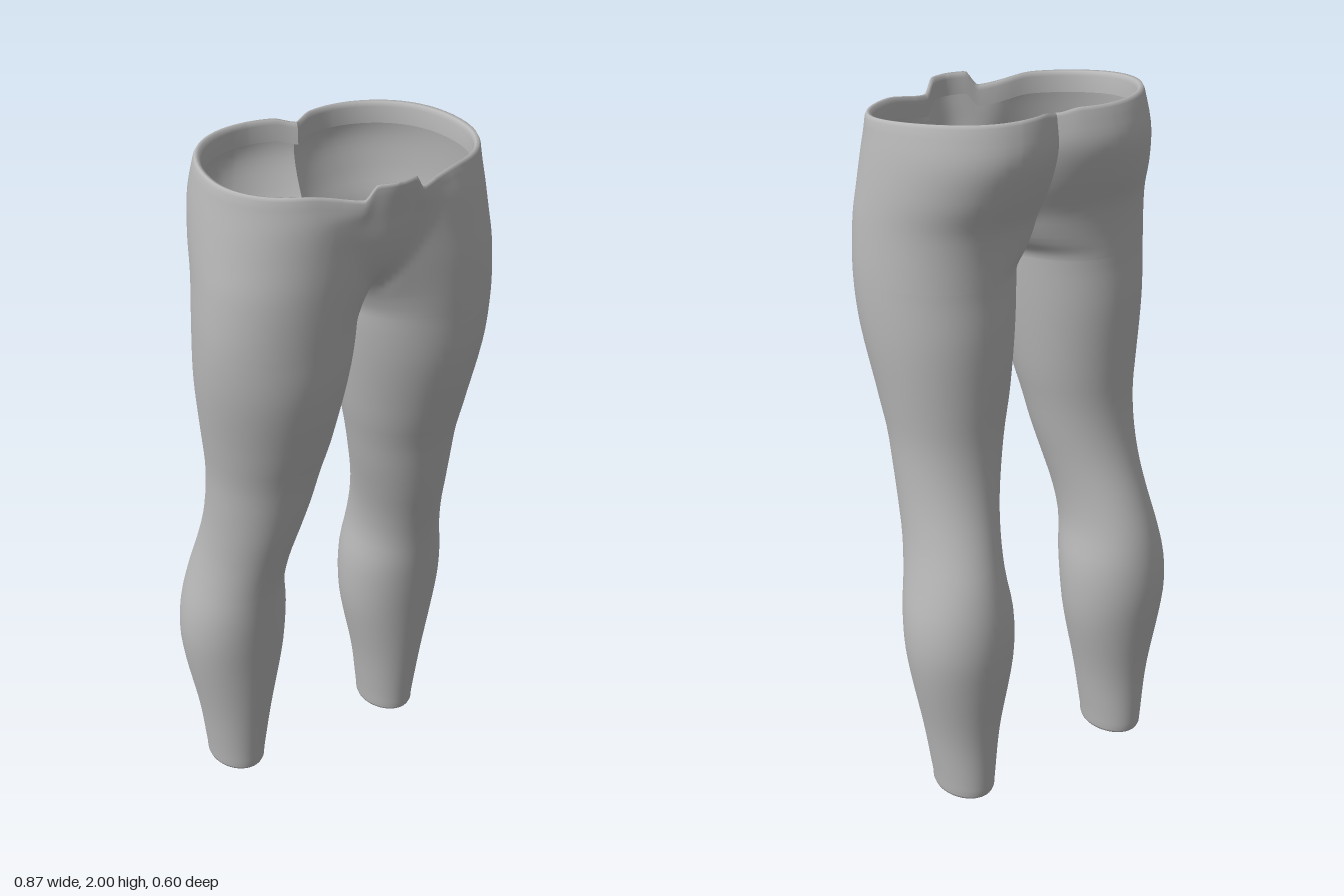
import * as THREE from 'three';
import { mergeVertices } from 'three/addons/utils/BufferGeometryUtils.js';

// Leg outline by height: [y, inner x, outer x, front z, back z]
const OUTLINE = [
  [0.03, 0.195, 0.36, -0.045, -0.26], [0.2, 0.17, 0.385, -0.025, -0.265],
  [0.4, 0.13, 0.425, 0.0, -0.29], [0.5, 0.122, 0.436, 0.015, -0.3],
  [0.6, 0.125, 0.43, 0.03, -0.296], [0.7, 0.14, 0.41, 0.045, -0.277],
  [0.8, 0.135, 0.393, 0.07, -0.245], [0.9, 0.115, 0.386, 0.1, -0.212],
  [1.0, 0.09, 0.386, 0.125, -0.19], [1.1, 0.068, 0.39, 0.148, -0.182],
  [1.2, 0.045, 0.403, 0.18, -0.186], [1.4, 0.014, 0.43, 0.23, -0.195],
  [1.55, 0, 0.437, 0.243, -0.192], [1.7, 0, 0.43, 0.25, -0.205],
  [1.8, 0, 0.42, 0.25, -0.243], [1.9, 0, 0.407, 0.25, -0.266], [2, 0, 0.393, 0.243, -0.246],
];
const CROTCH = 1.55;
// Where the two legs join on the middle plane, and the pouch: [y, value]
const JOIN_FRONT = [[1.55, 0.055], [1.6, 0.12], [1.68, 0.185], [1.8, 0.22], [2, 0.225]];
const JOIN_BACK = [[1.55, 0.055], [1.6, -0.07], [1.7, -0.13], [1.8, -0.185], [1.9, -0.215], [2, -0.205]];
const POUCH = [[1.55, 0.06], [1.68, 0.2], [1.74, 0.24], [1.82, 0.268], [1.9, 0.283], [2, 0.3]];
const CENTRE_X = [[1.55, 0.218], [1.7, 0.205], [1.8, 0.185], [1.9, 0.16], [2, 0.14]];

const smooth = THREE.MathUtils.smoothstep;
const lerp = THREE.MathUtils.lerp;

// Smooth interpolation of one column of a table
function sample(table, y, col = 1) {
  const n = table.length - 1;
  if (y <= table[0][0]) return table[0][col];
  if (y >= table[n][0]) return table[n][col];
  let i = 0;
  while (y > table[i + 1][0]) i++;
  const slope = (k) => {
    const a = table[Math.max(k - 1, 0)], b = table[Math.min(k + 1, n)];
    return (b[col] - a[col]) / (b[0] - a[0]);
  };
  const [p, q] = [table[i], table[i + 1]], h = q[0] - p[0], t = (y - p[0]) / h;
  const t2 = t * t, t3 = t2 * t;
  return (2 * t3 - 3 * t2 + 1) * p[col] + (t3 - 2 * t2 + t) * h * slope(i)
    + (3 * t2 - 2 * t3) * q[col] + (t3 - t2) * h * slope(i + 1);
}

const STEPS = 16;

// One section of a leg, running inner, front, outer, back; open on the inside above the crotch
function section({ y, h = y, s = 1 }) {
  const [inner, outer, front, back] = [1, 2, 3, 4].map((c) => sample(OUTLINE, y, c));
  const joined = y > CROTCH;
  const cx = joined ? sample(CENTRE_X, y) : (inner + outer) / 2;
  const cz = (front + back) / 2 + 0.03 * smooth(y, 1.2, 1.6);
  const bf = front - cz, bb = cz - back;
  const start = (z, b) => (joined ? Math.asin(THREE.MathUtils.clamp((z - cz) / b, 0, 0.97)) : 0);
  const uf = start(sample(JOIN_FRONT, y), bf);
  const ub = start(2 * cz - sample(JOIN_BACK, y), bb);
  const width = lerp(0.05, 0.19, smooth(y, 1.62, 1.95));
  const points = [];
  for (let j = 0; j <= 4 * STEPS; j++) {
    const quarter = Math.min(Math.floor(j / STEPS), 3), t = j / STEPS - quarter;
    const isFront = quarter < 2, isInner = quarter === 0 || quarter === 3;
    const u0 = quarter === 0 ? uf : quarter === 3 ? ub : 0;
    const u = lerp(u0, Math.PI / 2, quarter % 2 ? 1 - t : t);
    const a = isInner ? (cx - inner) / Math.cos(u0) : outer - cx;
    let x = cx + (isInner ? -1 : 1) * a * Math.cos(u);
    let z = cz + (isFront ? bf : -bb) * Math.sin(u);
    // pouch rounding over the front middle
    if (isFront && joined) {
      const k = (1 - smooth(x, 0, width)) * smooth(y, 1.62, 1.74);
      z = lerp(z, sample(POUCH, y), k);
    }
    // waistline: slopes down to the front, with a dip and a small raised tab
    let rim = -0.03 * smooth(z, -0.2, 0.25);
    if (z > 0.1) rim += -0.025 * (1 - smooth(x, 0.07, 0.25)) + 0.04 * (1 - smooth(x, 0.055, 0.09));
    else if (z < -0.1) rim -= 0.012 * (1 - smooth(x, 0, 0.06));
    const yy = h + rim * smooth(y, 1.86, 2);
    const ox = joined ? 0 : cx;
    points.push(ox + (x - ox) * s, yy, cz + (z - cz) * s);
  }
  return points;
}

// Rows from the turned-in ankle hem to the turned-in waistband
function rows() {
  const list = [
    { y: 0.03, h: 0.035, s: 0.88 }, { y: 0.03, h: 0.004, s: 0.91 }, { y: 0.03, h: 0, s: 0.95 },
    { y: 0.03, h: 0.008, s: 0.985 }, { y: 0.03 },
  ];
  for (let y = 0.07; y < 1.5; y += 0.04) list.push({ y });
  for (let y = 1.5; y < 1.548; y += 0.016) list.push({ y });
  list.push({ y: CROTCH });
  for (let y = 1.554; y < 1.62; y += 0.008) list.push({ y });
  for (let y = 1.625; y < 1.98; y += 0.02) list.push({ y });
  list.push({ y: 1.99 }, { y: 2, s: 0.99 }, { y: 2, h: 1.998, s: 0.965 },
    { y: 2, h: 1.985, s: 0.95 }, { y: 2, h: 1.94, s: 0.945 });
  return list;
}

function legGeometry(side) {
  const list = rows(), cols = 4 * STEPS + 1;
  const positions = list.flatMap(section), index = [];
  for (let i = 0; i < positions.length; i += 3) positions[i] *= side;
  for (let i = 0; i < list.length - 1; i++) {
    for (let j = 0; j < cols - 1; j++) {
      const a = i * cols + j, b = a + 1, d = a + cols, c = d + 1;
      if (side > 0) index.push(a, b, d, b, c, d);
      else index.push(a, d, b, b, d, c);
    }
  }
  let geo = new THREE.BufferGeometry();
  geo.setAttribute('position', new THREE.Float32BufferAttribute(positions, 3));
  geo.setIndex(index);
  geo = mergeVertices(geo, 1e-5);
  geo.computeVertexNormals();
  // smooth the front seam, keep the back one creased
  const p = geo.attributes.position, n = geo.attributes.normal, v = new THREE.Vector3();
  for (let i = 0; i < p.count; i++) {
    if (Math.abs(p.getX(i)) < 1e-4 && p.getZ(i) > 0.15) {
      v.fromBufferAttribute(n, i).setX(0).normalize();
      n.setXYZ(i, v.x, v.y, v.z);
    }
  }
  return geo;
}

export function createModel() {
  const fabric = new THREE.MeshStandardMaterial({ color: 0xb8b8b8, side: THREE.DoubleSide });
  fabric.name = 'grey fabric';
  const group = new THREE.Group();
  group.name = 'leggings';
  for (const [name, side] of [['leftLeg', 1], ['rightLeg', -1]]) {
    const mesh = new THREE.Mesh(legGeometry(side), fabric);
    mesh.name = name;
    group.add(mesh);
  }
  return group;
}
